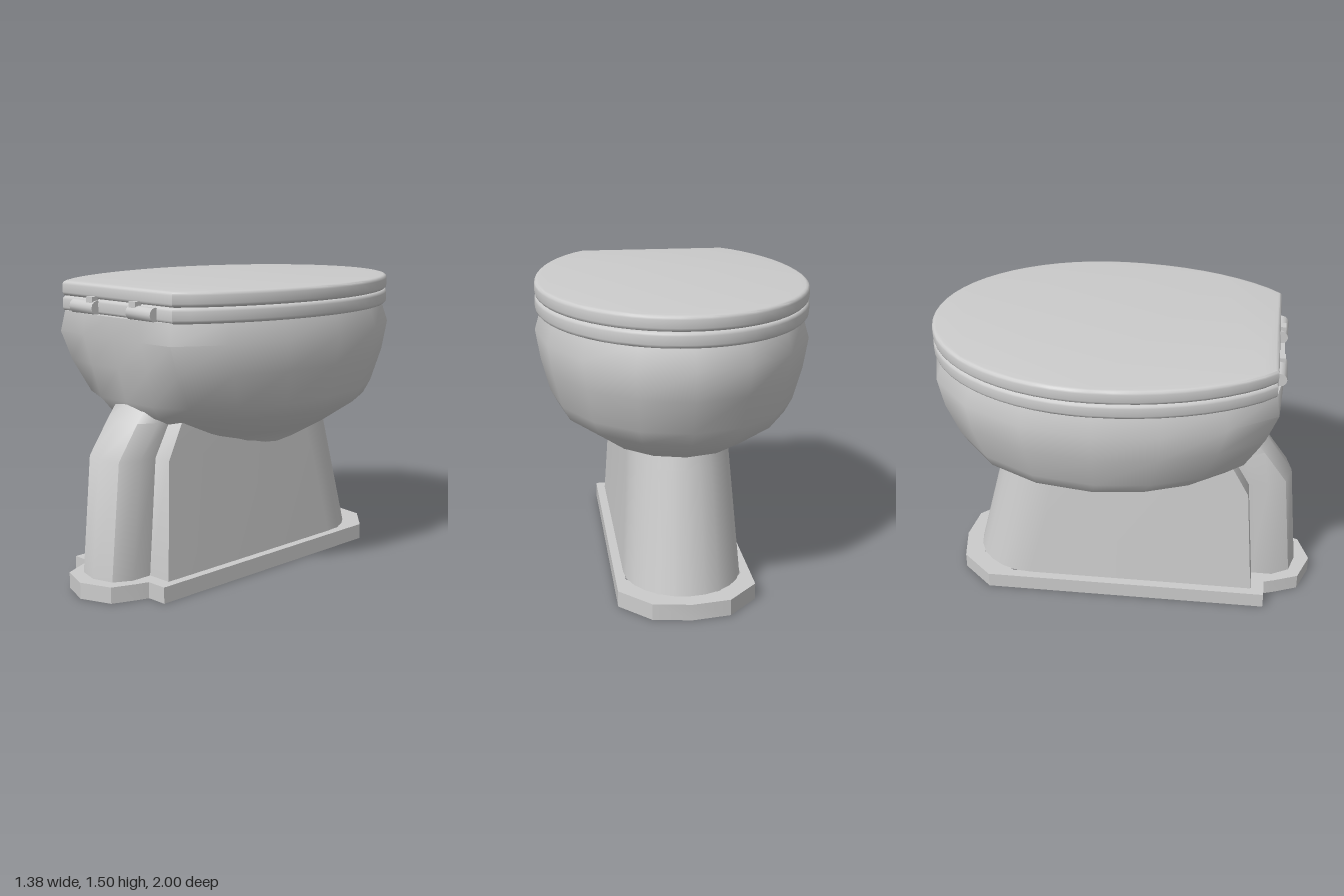
import * as THREE from 'three';
import { toCreasedNormals } from 'three/addons/utils/BufferGeometryUtils.js';

const material = new THREE.MeshStandardMaterial({ color: 0xcccccc, side: THREE.DoubleSide });

function addMesh(parent, name, geometry) {
  const mesh = new THREE.Mesh(geometry, material);
  mesh.name = name;
  parent.add(mesh);
  return mesh;
}

// Completes a half outline (front centre to rear centre, x >= 0) by mirroring it
function mirrored(half) {
  return [...half, ...half.slice(1, -1).reverse().map(([x, z]) => [-x, z])];
}

// Skins closed rings {y, outline}, listed from bottom to top
function loft(rings, crease) {
  const n = rings[0].outline.length;
  const positions = [], index = [];
  for (const { y, outline } of rings) for (const [x, z] of outline) positions.push(x, y, z);
  for (let r = 0; r < rings.length - 1; r++) {
    for (let i = 0; i < n; i++) {
      const a = r * n + i, b = r * n + (i + 1) % n;
      index.push(a, a + n, b, b, a + n, b + n);
    }
  }
  const geometry = new THREE.BufferGeometry();
  geometry.setAttribute('position', new THREE.Float32BufferAttribute(positions, 3));
  geometry.setIndex(index);
  return toCreasedNormals(geometry, crease);
}

// Egg-shaped outline: half ellipses about zc, cut straight at zCut in the rear
function egg(w, zc, front, rear, zCut, angles) {
  return mirrored(angles.map((deg, i) => {
    const t = THREE.MathUtils.degToRad(deg);
    const ends = i === 0 || i === angles.length - 1;
    const z = zc + Math.sin(t) * (deg < 0 ? front : rear);
    return [ends ? 0 : w * Math.cos(t), Math.min(z, zCut)];
  }));
}

function toShape(points, Type = THREE.Shape) {
  return new Type(points.map(([x, z]) => new THREE.Vector2(x, z)));
}

// Flat slab with an optional hole and rounded edges, its top at height yTop
function slab(outline, hole, yTop, height, bevel) {
  const shape = toShape(outline);
  if (hole) shape.holes.push(toShape(hole, THREE.Path));
  const geometry = new THREE.ExtrudeGeometry(shape, {
    depth: height - 2 * bevel, bevelEnabled: bevel > 0, bevelThickness: bevel,
    bevelSize: bevel, bevelOffset: -bevel, bevelSegments: 3,
  });
  geometry.rotateX(Math.PI / 2);
  geometry.translate(0, yTop - bevel, 0);
  return toCreasedNormals(geometry, 0.6);
}

function buildBowl() {
  const angles = [-90, -67.5, -45, -22.5, 0, 18, 36, 54, 72, 90];
  // y, half width, centre z, front radius, rear radius, rear cut
  const levels = [
    [0.19, 0.01, -0.17, 0.01, 0.01, 1],
    [0.24, 0.08, -0.17, 0.09, 0.09, 1],
    [0.45, 0.16, -0.15, 0.2, 0.18, 1],
    [0.65, 0.26, -0.12, 0.28, 0.27, 1],
    [0.74, 0.40, -0.12, 0.56, 0.55, 1],
    [0.86, 0.58, -0.11, 0.75, 0.78, 0.66],
    [0.93, 0.62, -0.1, 0.80, 0.88, 0.69],
    [1.1, 0.665, -0.1, 0.87, 1.0, 0.735],
    [1.25, 0.69, -0.1, 0.9, 1.07, 0.775],
    [1.355, 0.66, -0.1, 0.86, 1.05, 0.78],
    // rim and inner basin
    [1.355, 0.46, -0.15, 0.6, 0.6, 1],
    [1.0, 0.42, -0.15, 0.55, 0.5, 1],
    [0.75, 0.25, -0.15, 0.3, 0.3, 1],
    [0.55, 0.01, -0.15, 0.01, 0.01, 1],
  ];
  return loft(levels.map(([y, ...rest]) => ({ y, outline: egg(...rest, angles) })), 1.0);
}

function buildPedestal() {
  // y, half width, front z, rear wall z, waste pipe z
  const levels = [
    [0.08, 0.295, -0.83, 0.69, 0.92],
    [0.67, 0.258, -0.68, 0.645, 0.865],
    [0.84, 0.247, -0.64, 0.55, 0.745],
    [0.93, 0.24, -0.62, 0.48, 0.675],
  ];
  return loft(levels.map(([y, w, zf, zw, zp]) => {
    const half = [];
    // rounded front end
    for (let i = 0; i <= 6; i++) {
      const t = (i / 6) * Math.PI / 2;
      half.push([w * Math.sin(t), zf + 0.32 * (1 - Math.cos(t))]);
    }
    // rear wall and the pipe bulging from it
    half.push([w, zw], [0.16, zw], [0.16, zp - 0.12], [0.11, zp - 0.03], [0, zp]);
    return { y, outline: mirrored(half) };
  }), 0.75);
}

export function createModel() {
  const model = new THREE.Group();
  model.name = 'toilet';

  // Open foot ring, stepping in to a collar around the pipe
  const foot = mirrored([[0, -0.92], [0.19, -0.89], [0.34, -0.73], [0.34, 0.76],
    [0.23, 0.76], [0.21, 0.82], [0.16, 0.94], [0, 1]]);
  const opening = mirrored([[0, -0.82], [0.15, -0.79], [0.29, -0.6], [0.29, 0.68],
    [0.155, 0.68], [0.155, 0.8], [0.11, 0.88], [0, 0.91]]);
  addMesh(model, 'foot', slab(foot, opening, 0.082, 0.082, 0));

  addMesh(model, 'pedestal', buildPedestal());
  addMesh(model, 'bowl', buildBowl());

  // Seat ring and closed lid
  const fine = [];
  for (let deg = -90; deg <= 54; deg += 6) fine.push(deg);
  fine.push(90);
  const cover = egg(0.686, -0.1, 0.885, 1.06, 0.75, fine);
  const seatHole = egg(0.44, -0.15, 0.58, 0.58, 1, fine);
  addMesh(model, 'seat', slab(cover, seatHole, 1.426, 0.076, 0.018));
  addMesh(model, 'lid', slab(cover, null, 1.5, 0.074, 0.018));

  // Hinges: a barrel with a small lug on each side
  for (const side of [-1, 1]) {
    const hinge = new THREE.Group();
    hinge.name = side > 0 ? 'leftHinge' : 'rightHinge';
    const barrel = new THREE.CylinderGeometry(0.035, 0.035, 0.172, 12).rotateZ(Math.PI / 2);
    addMesh(hinge, 'hingeBarrel', toCreasedNormals(barrel, 0.7)).position.set(side * 0.211, 1.386, 0.757);
    addMesh(hinge, 'hingeLug', new THREE.BoxGeometry(0.045, 0.04, 0.04)).position.set(side * 0.158, 1.42, 0.76);
    model.add(hinge);
  }
  return model;
}
